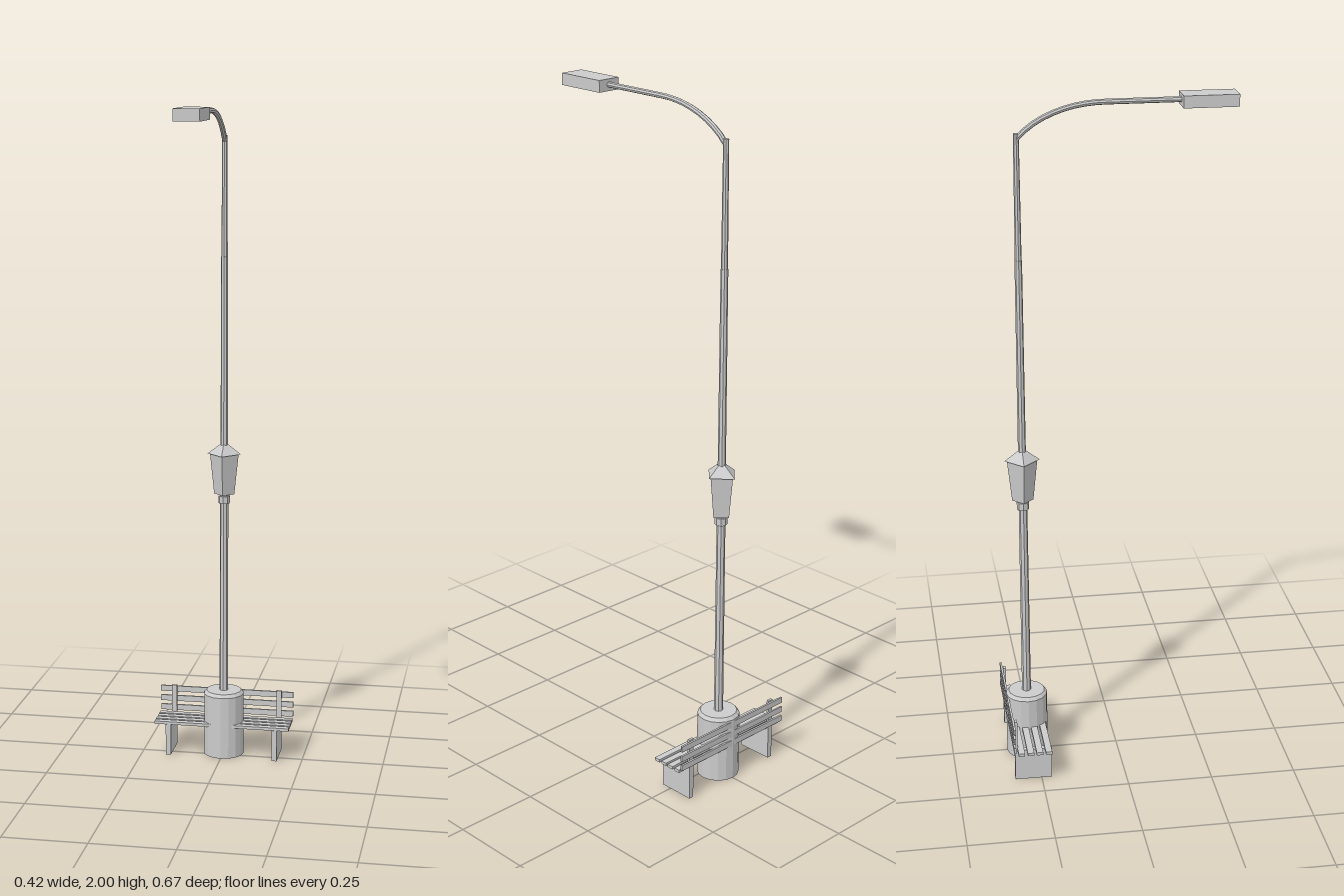
import * as THREE from 'three';

const POLE_Z = -0.273;

export function createModel() {
  const model = new THREE.Group();
  model.name = 'streetLampWithBench';
  const mat = new THREE.MeshStandardMaterial({ color: 0xcccccc, flatShading: true });

  const add = (name, geometry, x, y, z) => {
    const mesh = new THREE.Mesh(geometry, mat);
    mesh.name = name;
    mesh.position.set(x, y, z);
    model.add(mesh);
    return mesh;
  };
  const box = (name, w, h, d, x, y, z) => add(name, new THREE.BoxGeometry(w, h, d), x, y, z);
  // Upright tapered cylinder on the pole axis, from y0 to y1
  const post = (name, r0, r1, y0, y1, sides) =>
    add(name, new THREE.CylinderGeometry(r1, r0, y1 - y0, sides), 0, (y0 + y1) / 2, POLE_Z);

  // Round plinth with a bevelled top edge
  const plinth = [[0, 0], [0.062, 0], [0.062, 0.195], [0.054, 0.205], [0, 0.205]]
    .map(([r, y]) => new THREE.Vector2(r, y));
  add('plinth', new THREE.LatheGeometry(plinth, 16), 0, 0, POLE_Z);

  // Pole, in stepped sections
  post('lowerPole', 0.0135, 0.0125, 0.2, 0.83, 8);
  post('collar', 0.018, 0.018, 0.8, 0.822, 8);
  post('middlePole', 0.0115, 0.0105, 0.95, 1.55, 8);
  post('upperPole', 0.0095, 0.008, 1.55, 1.905, 8);

  // Four-sided lantern around the pole, corners facing the axes
  post('lanternBody', 0.031, 0.044, 0.828, 0.952, 4);
  post('lanternRoof', 0.051, 0.012, 0.952, 0.982, 4);

  // Curved arm reaching forward to the lamp head
  const arm = new THREE.CurvePath();
  arm.add(new THREE.CubicBezierCurve3(
    new THREE.Vector3(0, 1.89, POLE_Z), new THREE.Vector3(0, 1.935, -0.235),
    new THREE.Vector3(0, 1.984, -0.15), new THREE.Vector3(0, 1.984, -0.03)));
  arm.add(new THREE.LineCurve3(
    new THREE.Vector3(0, 1.984, -0.03), new THREE.Vector3(0, 1.984, 0.19)));
  add('arm', new THREE.TubeGeometry(arm, 16, 0.008, 8), 0, 0, 0);
  box('lampHead', 0.073, 0.034, 0.155, 0, 1.983, 0.2575);

  // Bench seat and back slats
  for (const z of [-0.3115, -0.2845, -0.258, -0.231]) {
    box('seatSlat', 0.42, 0.009, 0.019, 0, 0.102, z);
  }
  for (const y of [0.118, 0.148, 0.179]) {
    box('backSlat', 0.42, 0.018, 0.006, 0, y, -0.331);
  }

  // Panel legs and back supports, mirrored
  for (const side of [-1, 1]) {
    box('benchLeg', 0.016, 0.098, 0.109, side * 0.166, 0.049, -0.2735);
    box('backSupport', 0.016, 0.096, 0.008, side * 0.166, 0.145, -0.324);
  }
  return model;
}
